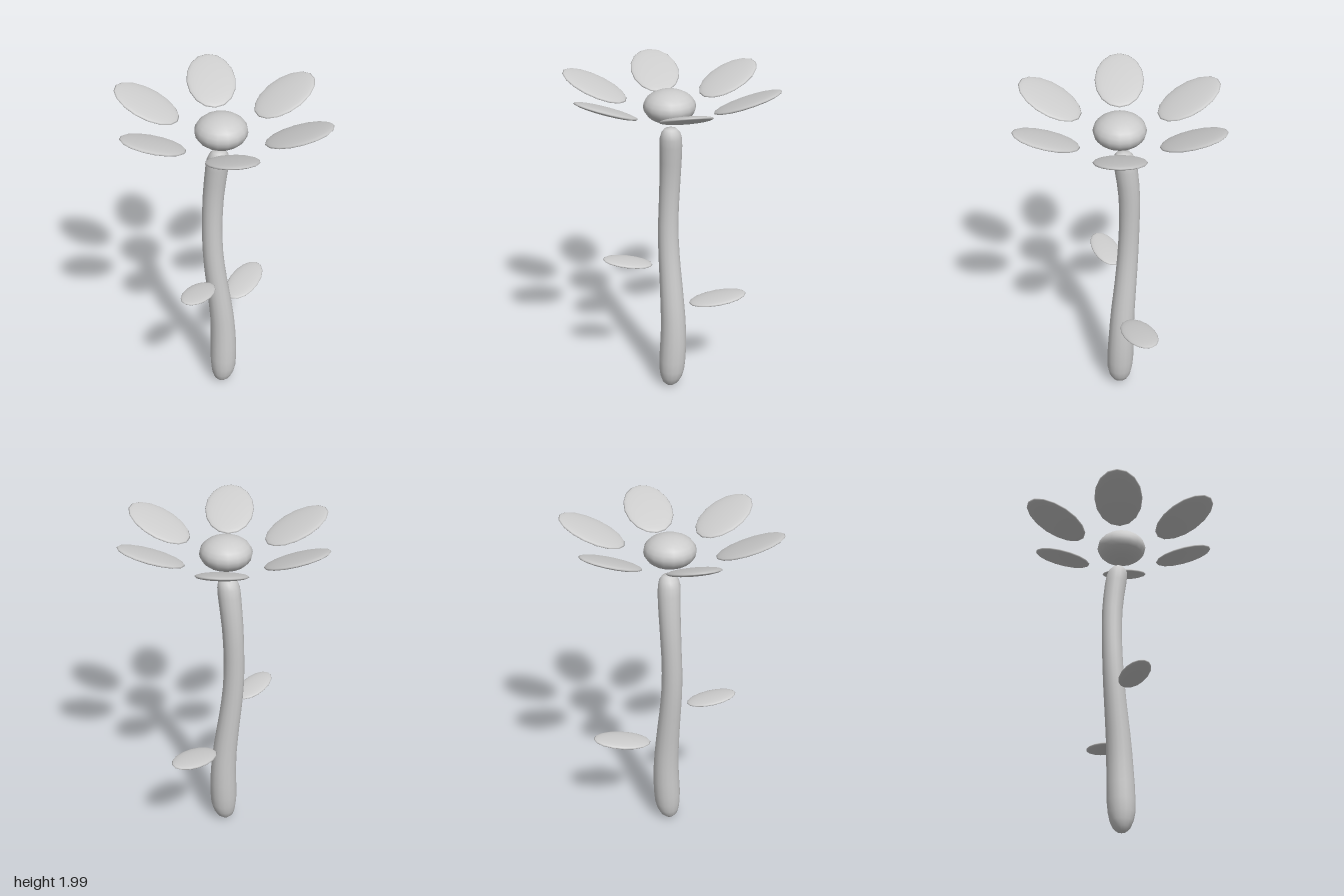
import * as THREE from 'three';
import { mergeVertices } from 'three/addons/utils/BufferGeometryUtils.js';

const rad = THREE.MathUtils.degToRad;

// Curved, tapering stem with rounded ends: a lathe whose rings are shifted sideways
function stemGeometry() {
  // [height, radius, centre x, centre z]
  const rings = [
    [0.01, 0, 0.003, 0], [0.016, 0.027, 0.004, 0], [0.04, 0.051, 0.007, 0],
    [0.08, 0.068, 0.012, 0], [0.13, 0.078, 0.016, 0], [0.2, 0.082, 0.018, -0.003],
    [0.3, 0.081, 0.022, -0.006], [0.4, 0.078, 0.022, -0.01], [0.5, 0.075, 0.018, -0.014],
    [0.6, 0.072, 0.01, -0.02], [0.7, 0.069, 0.001, -0.028], [0.8, 0.066, -0.009, -0.036],
    [0.9, 0.064, -0.018, -0.043], [1.0, 0.062, -0.024, -0.049], [1.1, 0.061, -0.026, -0.053],
    [1.2, 0.06, -0.024, -0.056], [1.3, 0.061, -0.02, -0.057], [1.4, 0.062, -0.015, -0.055],
    [1.5, 0.064, -0.009, -0.047], [1.6, 0.066, -0.004, -0.035], [1.65, 0.064, -0.002, -0.028],
    [1.685, 0.055, 0, -0.023], [1.708, 0.036, 0, -0.021], [1.715, 0, 0, -0.02],
  ];
  const geo = new THREE.LatheGeometry(rings.map(([y, r]) => new THREE.Vector2(r, y)), 16);
  const pos = geo.attributes.position;
  for (let i = 0; i < pos.count; i++) {
    const [, , x, z] = rings[i % rings.length];
    pos.setX(i, pos.getX(i) + x);
    pos.setZ(i, pos.getZ(i) + z);
  }
  geo.deleteAttribute('uv');
  geo.deleteAttribute('normal');
  const merged = mergeVertices(geo);
  merged.computeVertexNormals();
  return merged;
}

export function createModel() {
  const flower = new THREE.Group();
  flower.name = 'flower';
  const grey = new THREE.MeshStandardMaterial({ color: 0xcccccc });
  grey.name = 'light grey';
  const ball = new THREE.SphereGeometry(1, 16, 12);

  // Flattened ellipsoid pointing outward at an azimuth and tilted upward
  function blade(name, centre, size, azimuth, tilt) {
    const mesh = new THREE.Mesh(ball, grey);
    mesh.name = name;
    mesh.position.set(...centre);
    mesh.scale.set(...size);
    mesh.rotation.set(0, rad(azimuth), rad(tilt), 'YZX');
    flower.add(mesh);
  }

  const stem = new THREE.Mesh(stemGeometry(), grey);
  stem.name = 'stem';
  flower.add(stem);

  // Flower head: centre and six petals
  blade('flowerCentre', [0, 1.85, 0], [0.15, 0.095, 0.15], 0, 0);
  for (let i = 0; i < 6; i++) {
    const a = rad(i * 60);
    blade('petal' + (i + 1), [0.452 * Math.cos(a), 1.923, -0.452 * Math.sin(a)],
      [0.203, 0.02, 0.143], i * 60, 22);
  }

  // Two leaves on opposite sides of the stem
  blade('leftLeaf', [0.27, 0.615, -0.115], [0.176, 0.02, 0.096], 24, 9);
  blade('rightLeaf', [-0.235, 0.874, 0.085], [0.15, 0.017, 0.082], 204, 9);

  return flower;
}
